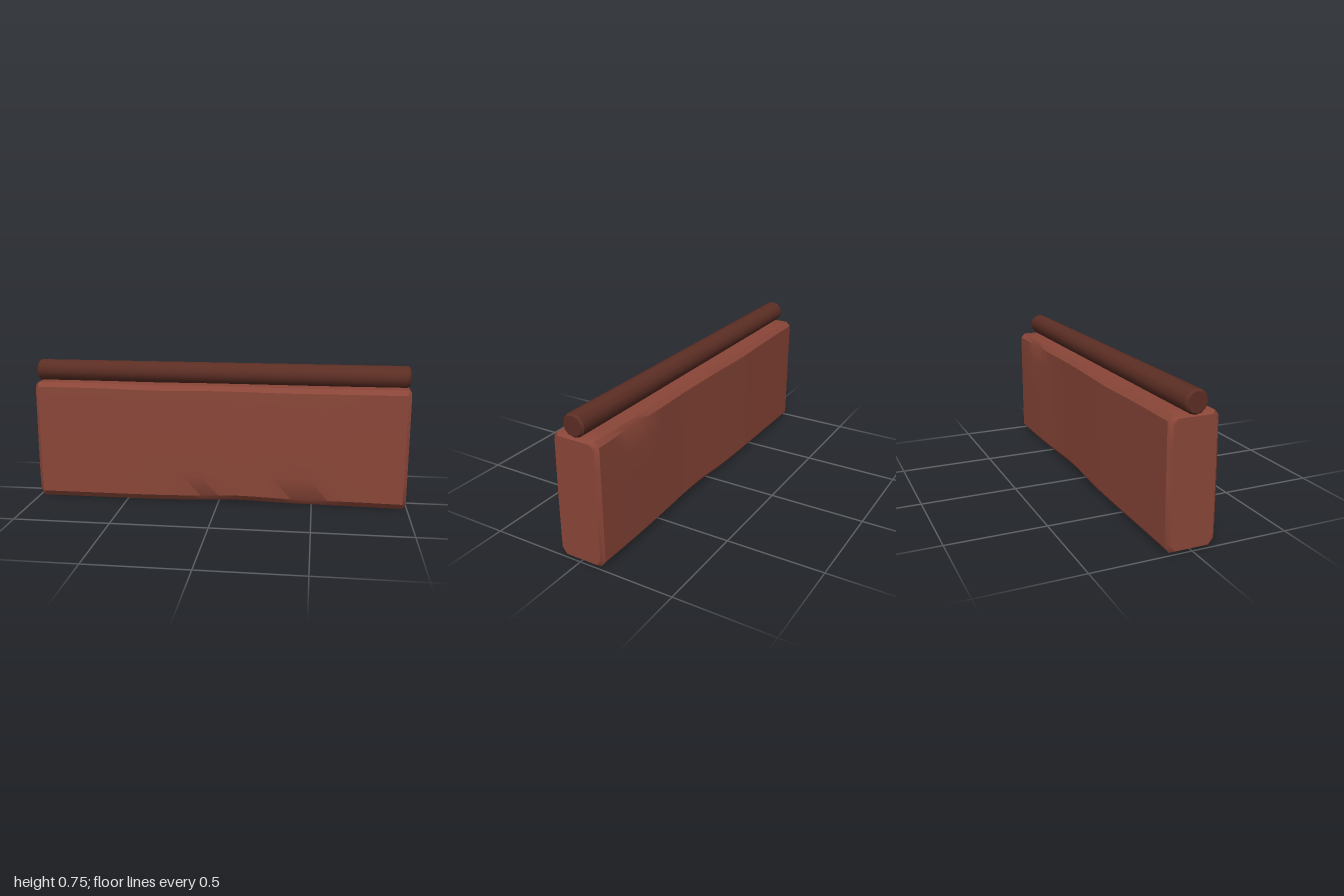
import * as THREE from 'three';
import { toCreasedNormals } from 'three/addons/utils/BufferGeometryUtils.js';

// Smooth bump centred on c with half-width w
const bump = (v, c, w) => Math.exp(-(((v - c) / w) ** 2));

// Loft of closed [y, z] rings (counter-clockwise about +x), capped at both ends
function loft(rings, creaseAngle) {
  const n = rings[0].length, pos = [], idx = [];
  rings.forEach(r => r.forEach(p => pos.push(...p)));
  for (let i = 0; i < rings.length - 1; i++) {
    for (let j = 0; j < n; j++) {
      const a = i * n + j, b = i * n + (j + 1) % n;
      idx.push(a, b, b + n, a, b + n, a + n);
    }
  }
  const last = (rings.length - 1) * n;
  for (let j = 1; j < n - 1; j++) {
    idx.push(0, j + 1, j);
    idx.push(last, last + j, last + j + 1);
  }
  const g = new THREE.BufferGeometry();
  g.setAttribute('position', new THREE.Float32BufferAttribute(pos, 3));
  g.setIndex(idx);
  return toCreasedNormals(g, creaseAngle);
}

// Bevelled slab section at x, pulled in by inset, with gently uneven faces
function slabRing(x, inset) {
  const front = 0.125 - inset - 0.012 * bump(x, 0.7, 0.22);
  const back = -0.128 + inset + 0.01 * bump(x, 0.3, 0.3);
  const top = 0.64 - inset * 0.7 - 0.006 * bump(x, 0.6, 0.5) - 0.006 * bump(x, -0.35, 0.2);
  const bottom = 0.002 + inset * 0.7 + 0.014 * bump(x, 0.12, 0.22);
  const c = 0.024, midY = 0.33;
  const dent = 0.012 * bump(x, 0.45, 0.15) + 0.007 * bump(x, -0.1, 0.2);
  const backDent = 0.01 * bump(x, 0.72, 0.15);
  return [
    [top, back + c], [top, front - c],
    [top - c, front - 0.004], [midY, front], [0.15, front], [bottom + c * 1.3, front - dent],
    [bottom, front - c - dent], [bottom, back + c],
    [bottom + c * 1.3, back], [midY, back], [0.5, back], [top - c, back + backDent],
  ].map(([y, z]) => [x, y, z]);
}

export function createModel() {
  const model = new THREE.Group();
  const slabMat = new THREE.MeshStandardMaterial({ color: 0x8a4638 });
  slabMat.name = 'reddish brown';
  const rodMat = new THREE.MeshStandardMaterial({ color: 0x5c2e24 });
  rodMat.name = 'dark brown';

  // Uneven slab with bevelled ends
  const rings = [slabRing(-0.995, 0.018), slabRing(-0.975, 0)];
  for (let i = 1; i < 20; i++) rings.push(slabRing(-0.975 + i * 0.0975, 0));
  rings.push(slabRing(0.975, 0), slabRing(0.993, 0.016));
  const slab = new THREE.Mesh(loft(rings, 0.6), slabMat);
  slab.name = 'slab';
  model.add(slab);

  // Round rod along the top with bevelled ends
  const rodRings = [[-1, 0.049], [-0.988, 0.058], [0.978, 0.058], [0.99, 0.049]].map(([x, r]) =>
    Array.from({ length: 12 }, (_, j) => {
      const a = j * Math.PI / 6;
      return [x, 0.69 + r * Math.cos(a), r * Math.sin(a)];
    }));
  const rod = new THREE.Mesh(loft(rodRings, 0.6), rodMat);
  rod.name = 'topRod';
  model.add(rod);

  return model;
}
